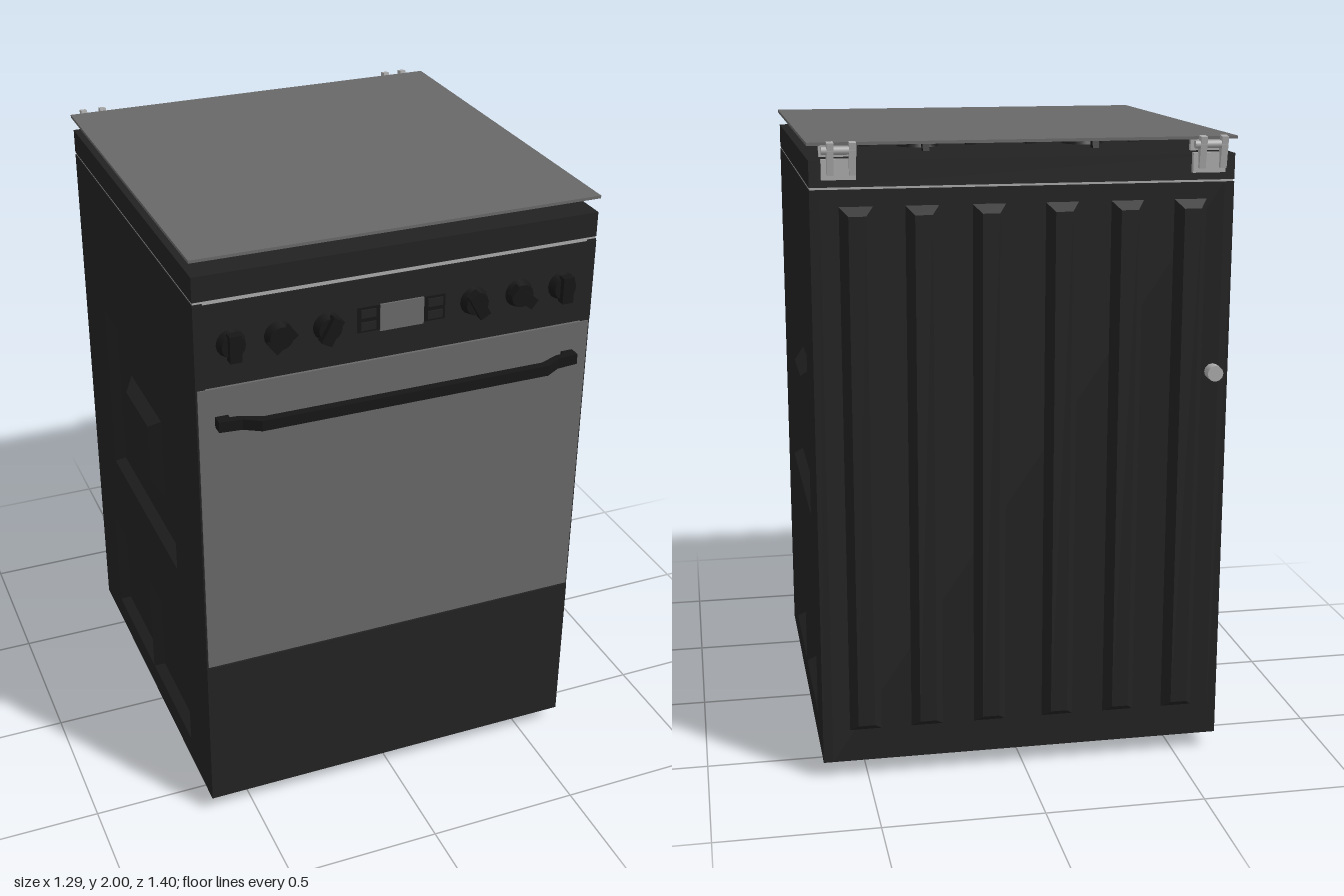
import * as THREE from 'three';

const mat = (color) => new THREE.MeshStandardMaterial({ color });
const black = mat(0x222222), dark = mat(0x161616), glass = mat(0x686868), metal = mat(0xaaaaaa);

function add(parent, name, geometry, material, x = 0, y = 0, z = 0) {
  const mesh = new THREE.Mesh(geometry, material);
  mesh.name = name;
  mesh.position.set(x, y, z);
  parent.add(mesh);
  return mesh;
}

// Box given by its limits on each axis
function block(parent, name, material, [x0, x1], [y0, y1], [z0, z1]) {
  const g = new THREE.BoxGeometry(x1 - x0, y1 - y0, z1 - z0);
  return add(parent, name, g, material, (x0 + x1) / 2, (y0 + y1) / 2, (z0 + z1) / 2);
}

const corners = ([x0, y0, x1, y1]) => [[x0, y0], [x1, y0], [x1, y1], [x0, y1]];

// Pressed panel: bevelled walls from the rim at depth w0 to a flat face at depth w1
function pressed(rect, w0, w1, bx, by) {
  const [x0, y0, x1, y1] = rect;
  const rim = corners(rect).map(([x, y]) => [x, y, w0]);
  const face = corners([x0 + bx, y0 + by, x1 - bx, y1 - by]).map(([x, y]) => [x, y, w1]);
  const p = [];
  const quad = (a, b, c, d) => p.push(...a, ...b, ...c, ...a, ...c, ...d);
  for (let i = 0; i < 4; i++) {
    const j = (i + 1) % 4;
    quad(rim[i], rim[j], face[j], face[i]);
  }
  quad(...face);
  const g = new THREE.BufferGeometry();
  g.setAttribute('position', new THREE.Float32BufferAttribute(p, 3));
  g.computeVertexNormals();
  return g;
}

// Side wall with three pressed-in panels, s = +1 for the left and -1 for the right
function sideWall(parent, s) {
  const wall = new THREE.Group();
  wall.name = s > 0 ? 'leftWall' : 'rightWall';
  wall.rotation.y = s * Math.PI / 2;
  wall.position.x = s * 0.64;
  parent.add(wall);
  const rect = (zFront, zBack, y0, y1) =>
    s > 0 ? [-zFront, y0, -zBack, y1] : [zBack, y0, zFront, y1];

  const recesses = [
    rect(0.345, -0.39, 0.79, 1.385),
    rect(0.41, -0.018, 0.14, 0.51),
    rect(-0.022, -0.46, 0.14, 0.51),
  ];
  const shape = new THREE.Shape(corners(rect(0.63, -0.655, 0.055, 1.855)).map((c) => new THREE.Vector2(...c)));
  for (const r of recesses) shape.holes.push(new THREE.Path(corners(r).map((c) => new THREE.Vector2(...c))));
  add(wall, 'sideSheet', new THREE.ExtrudeGeometry(shape, { depth: 0.03, bevelEnabled: false }), black, 0, 0, -0.03);
  for (const r of recesses) add(wall, 'recessedPanel', pressed(r, 0, -0.028, 0.04, 0.03), black);
  add(wall, 'raisedCentre', pressed(rect(0.145, -0.195, 0.95, 1.225), -0.028, 0.005, 0.045, 0.035), black);
}

function hinge(parent, s) {
  const g = new THREE.Group();
  g.name = 'lidHinge';
  g.position.x = s * 0.555;
  parent.add(g);
  block(g, 'hingePlate', metal, [-0.055, 0.055], [1.95, 1.982], [-0.655, -0.64]);
  block(g, 'hingeBracket', metal, [-0.05, 0.05], [1.885, 1.945], [-0.672, -0.655]);
  for (const x of [-0.04, 0.025]) {
    const arm = block(g, 'hingeArm', metal, [x - 0.01, x + 0.01], [1.9, 1.995], [-0.69, -0.665]);
    arm.rotation.x = -0.15;
  }
  const pin = add(g, 'hingePin', new THREE.CylinderGeometry(0.012, 0.012, 0.1, 10), metal, 0, 1.97, -0.682);
  pin.rotation.z = Math.PI / 2;
}

function burner(parent, x, z) {
  const g = new THREE.Group();
  g.name = 'burner';
  g.position.set(x, 0, z);
  parent.add(g);
  add(g, 'burnerBase', new THREE.CylinderGeometry(0.055, 0.07, 0.016, 20), dark, 0, 1.945, 0);
  add(g, 'burnerCap', new THREE.CylinderGeometry(0.095, 0.095, 0.008, 24), dark, 0, 1.957, 0);
  // Four pan-support fingers with slanted feet
  for (let i = 0; i < 4; i++) {
    const arm = new THREE.Group();
    arm.name = 'panSupport';
    arm.rotation.y = i * Math.PI / 2;
    g.add(arm);
    block(arm, 'finger', dark, [0.04, 0.19], [1.97, 1.982], [-0.008, 0.008]);
    const foot = block(arm, 'foot', dark, [0.15, 0.18], [1.935, 1.98], [-0.01, 0.01]);
    foot.rotation.z = 0.2;
  }
}

function knob(parent, x, turn) {
  const g = new THREE.Group();
  g.name = 'knob';
  g.position.set(x, 1.72, 0.63);
  g.rotation.z = turn;
  parent.add(g);
  const dial = add(g, 'dial', new THREE.CylinderGeometry(0.036, 0.045, 0.03, 16), dark, 0, 0, 0.016);
  dial.rotation.x = Math.PI / 2;
  block(g, 'grip', dark, [-0.018, 0.018], [-0.042, 0.042], [0.02, 0.05]);
}

export function createModel() {
  const stove = new THREE.Group();
  stove.name = 'stove';

  // Cabinet
  block(stove, 'cabinetCore', black, [-0.61, 0.61], [0.055, 1.855], [-0.655, 0.62]);
  sideWall(stove, 1);
  sideWall(stove, -1);

  // Front: drawer, oven door, control panel
  block(stove, 'drawerFront', black, [-0.64, 0.64], [0.057, 0.59], [0.6, 0.632]);
  block(stove, 'ovenDoorGlass', glass, [-0.635, 0.635], [0.597, 1.583], [0.6, 0.634]);
  block(stove, 'controlPanel', black, [-0.64, 0.64], [1.587, 1.85], [0.6, 0.632]);
  block(stove, 'clockPanel', dark, [-0.14, 0.14], [1.68, 1.76], [0.62, 0.635]);
  block(stove, 'clockDisplay', glass, [-0.07, 0.07], [1.676, 1.762], [0.62, 0.638]);
  for (const s of [-1, 1]) {
    for (const y of [1.7, 1.74]) block(stove, 'clockButton', black, [s * 0.107 - 0.024, s * 0.107 + 0.024], [y - 0.013, y + 0.013], [0.63, 0.639]);
    [0.235, 0.385, 0.53].forEach((x, i) => knob(stove, s * x, s * [0.5, 0.9, 0][i]));
  }

  // Door handle: a flat bar bent back to the door at both ends
  const bar = new THREE.Shape([
    [-0.585, 0.632], [-0.545, 0.632], [-0.545, 0.65], [-0.52, 0.652], [-0.455, 0.68], [0.455, 0.68],
    [0.52, 0.652], [0.545, 0.65], [0.545, 0.632], [0.585, 0.632], [0.585, 0.67], [0.515, 0.677],
    [0.465, 0.707], [-0.465, 0.707], [-0.515, 0.677], [-0.585, 0.67],
  ].map((p) => new THREE.Vector2(...p)));
  const handle = add(stove, 'doorHandle', new THREE.ExtrudeGeometry(bar, { depth: 0.034, bevelEnabled: false }), dark, 0, 1.492, 0);
  handle.rotation.x = Math.PI / 2;

  // Hob and burners
  block(stove, 'hob', black, [-0.64, 0.64], [1.862, 1.94], [-0.655, 0.63]);
  block(stove, 'hobSeam', metal, [-0.638, 0.638], [1.85, 1.864], [-0.65, 0.628]);
  for (const x of [-0.265, 0.265]) for (const z of [-0.25, 0.31]) burner(stove, x, z);

  // Glass lid on two hinges
  block(stove, 'lid', glass, [-0.645, 0.645], [1.983, 1.992], [-0.66, 0.63]);
  hinge(stove, 1);
  hinge(stove, -1);

  // Back ribs
  const back = new THREE.Group();
  back.name = 'backRibs';
  back.rotation.y = Math.PI;
  back.position.z = -0.655;
  stove.add(back);
  for (const x of [-0.505, -0.31, -0.11, 0.11, 0.31, 0.505])
    add(back, 'rib', pressed([x - 0.05, 0.16, x + 0.05, 1.805], 0, 0.032, 0.024, 0.025), black);

  // Gas inlet
  const inlet = add(stove, 'gasInlet', new THREE.CylinderGeometry(0.025, 0.025, 0.04, 12), metal, -0.59, 1.27, -0.673);
  inlet.rotation.x = Math.PI / 2;

  // Feet
  const footProfile = [[0, 0], [0.033, 0], [0.033, 0.012], [0.024, 0.02], [0.026, 0.04], [0.038, 0.045], [0.038, 0.06]];
  const footGeometry = new THREE.LatheGeometry(footProfile.map((p) => new THREE.Vector2(...p)), 14);
  for (const x of [-0.58, 0.58]) for (const z of [0.51, -0.355]) add(stove, 'foot', footGeometry, dark, x, 0, z);

  return stove;
}
